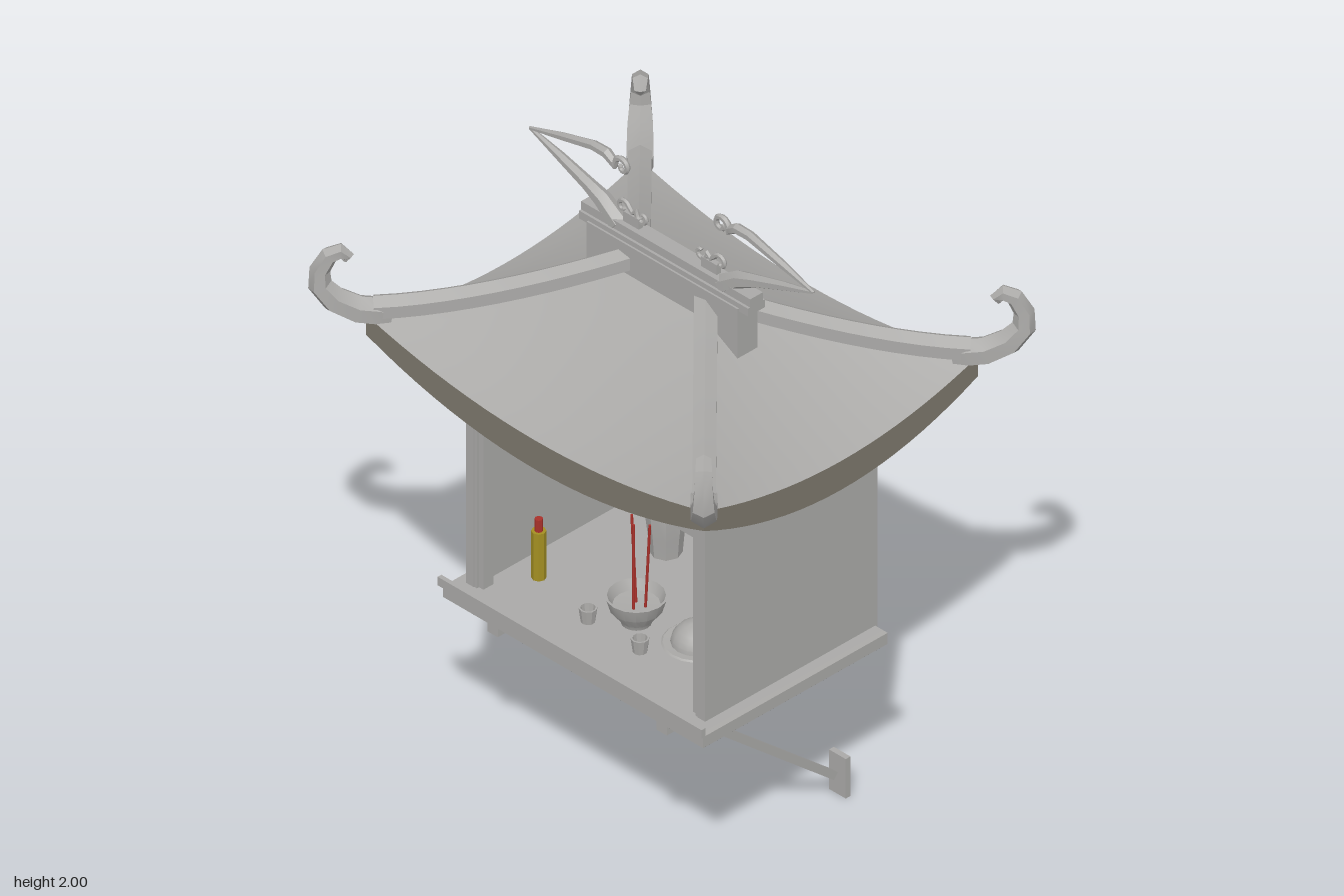
import * as THREE from 'three';
import { toCreasedNormals } from 'three/addons/utils/BufferGeometryUtils.js';

const material = (name, color, side = THREE.FrontSide) => {
  const m = new THREE.MeshStandardMaterial({ color, side });
  m.name = name;
  return m;
};

export function createModel() {
  const root = new THREE.Group();
  root.name = 'wallShrine';
  const grey = material('stoneGrey', 0xaaa9a7, THREE.DoubleSide);
  const trim = material('eaveTrim', 0x7c776c, THREE.DoubleSide);
  const gold = material('candleGold', 0xa38f22);
  const red = material('incenseRed', 0xa8302a);

  const add = (name, geo, mat, x = 0, y = 0, z = 0) => {
    const mesh = new THREE.Mesh(toCreasedNormals(geo, 0.45), mat);
    mesh.name = name;
    mesh.position.set(x, y, z);
    root.add(mesh);
    return mesh;
  };
  // Box given by its limits on each axis
  const box = (name, x0, x1, y0, y1, z0, z1, mat = grey) =>
    add(name, new THREE.BoxGeometry(x1 - x0, y1 - y0, z1 - z0), mat, (x0 + x1) / 2, (y0 + y1) / 2, (z0 + z1) / 2);
  // Slab with bevelled edges
  const slab = (name, x0, x1, y0, y1, z0, z1, b = 0.008) => {
    const s = new THREE.Shape();
    s.moveTo(x0 + b, -z1 + b).lineTo(x1 - b, -z1 + b).lineTo(x1 - b, -z0 - b).lineTo(x0 + b, -z0 - b).closePath();
    const g = new THREE.ExtrudeGeometry(s, { depth: y1 - y0 - 2 * b, bevelSize: b, bevelThickness: b, bevelSegments: 1 });
    add(name, g.rotateX(-Math.PI / 2), grey, 0, y0 + b, 0);
  };
  const lathe = (name, pts, sides, x, y, z, mat = grey) =>
    add(name, new THREE.LatheGeometry(pts.map(p => new THREE.Vector2(...p)), sides), mat, x, y, z);
  // Grid surface from a function of u and v in 0..1
  const surface = (f, nu, nv) => {
    const pos = [], index = [];
    for (let j = 0; j <= nv; j++) for (let i = 0; i <= nu; i++) pos.push(...f(i / nu, j / nv));
    for (let j = 0; j < nv; j++) for (let i = 0; i < nu; i++) {
      const a = j * (nu + 1) + i, b = a + nu + 1;
      index.push(a, b, a + 1, a + 1, b, b + 1);
    }
    const g = new THREE.BufferGeometry();
    g.setAttribute('position', new THREE.Float32BufferAttribute(pos, 3));
    g.setIndex(index);
    g.computeVertexNormals();
    return g;
  };
  // Tapered faceted sweep of [across, up, radius] points in the upright plane along dir
  const sweep = (name, pts, dir, origin, sides = 6) => {
    const across = new THREE.Vector3(...dir).normalize();
    const side = new THREE.Vector3(-across.z, 0, across.x);
    const n = pts.length - 1;
    const ring = (t, k) => {
      const i = Math.min(n, Math.max(0, Math.round(t * (n + 2)) - 1));
      const p = pts[i], a = pts[Math.max(0, i - 1)], b = pts[Math.min(n, i + 1)];
      const r = t === 0 || t === 1 ? 0 : p[2], len = Math.hypot(b[0] - a[0], b[1] - a[1]);
      const w = (k + 0.5 / sides) * Math.PI * 2, c = Math.cos(w) * r, s = Math.sin(w) * r;
      const d = p[0] - (b[1] - a[1]) / len * s;
      return new THREE.Vector3(...origin).addScaledVector(across, d).addScaledVector(side, c)
        .add(new THREE.Vector3(0, p[1] + (b[0] - a[0]) / len * s, 0)).toArray();
    };
    return add(name, surface((u, v) => ring(v, u), sides, n + 2), grey);
  };
  const spiral = (cx, cy, r0, r1, a0, a1, t0, t1, n = 12) => Array.from({ length: n + 1 }, (_, i) => {
    const k = i / n, a = a0 + (a1 - a0) * k, r = r0 + (r1 - r0) * k;
    return [cx + Math.cos(a) * r, cy + Math.sin(a) * r, t0 + (t1 - t0) * k];
  });

  // Platform, front lip, joists, struts and wall plates
  slab('platform', -0.5, 0.5, 0.565, 0.617, -0.325, 0.375);
  box('platformLip', -0.51, 0.505, 0.612, 0.64, 0.372, 0.386);
  for (const s of [-1, 1]) {
    const x = s * 0.325;
    box('joist', x - 0.02, x + 0.02, 0.53, 0.567, -0.322, 0.36);
    box('wallPlate', x - 0.032, x + 0.032, 0, 0.13, -0.325, -0.307);
    const strut = add('strut', new THREE.BoxGeometry(0.02, 0.024, 0.715), grey, x, 0.3, -0.017);
    strut.rotation.x = -Math.atan2(0.46, 0.55);
    // Side walls and front jambs
    box('sideWall', s * 0.445 - 0.015, s * 0.445 + 0.015, 0.61, 1.33, -0.325, 0.328);
    box('jamb', s * 0.415 - 0.012, s * 0.415 + 0.012, 0.617, 1.2, 0.28, 0.318);
    box('jambBead', s * 0.426 - 0.006, s * 0.426 + 0.006, 0.617, 1.2, 0.315, 0.326);
  }
  box('backWall', -0.46, 0.46, 0.61, 1.33, -0.325, -0.3);
  box('lintel', -0.435, 0.435, 1.2, 1.33, 0.3, 0.326);
  slab('topBeam', -0.487, 0.487, 1.313, 1.355, -0.322, 0.355, 0.012);

  // Curved hipped roof: four panels with underside and eave trim
  const hipY = v => 1.5 + 0.175 * Math.pow(1 - v, 1.6);
  const midY = v => 1.41 + 0.265 * Math.pow(1 - v, 1.1);
  const drop = s => 0.095 - 0.03 * s * s;
  for (let k = 0; k < 4; k++) {
    const [w0, w1, d0, d1] = k % 2 ? [0, 0.52, 0.13, 0.65] : [0.13, 0.65, 0, 0.52];
    const point = (u, v, low) => {
      const s = u * 2 - 1;
      return [s * (w0 + (w1 - w0) * v), midY(v) + (hipY(v) - midY(v)) * s * s - low * drop(s), d0 + (d1 - d0) * v];
    };
    const parts = [
      ['roofPanel', surface((u, v) => point(u, v, 0), 20, 10), grey],
      ['roofUnderside', surface((u, v) => point(1 - u, v, 1), 20, 10), grey],
      ['eaveTrim', surface((u, v) => point(u, 1, v), 20, 1), trim],
    ];
    for (const [name, g, m] of parts) add(name, g, m).rotation.y = k * Math.PI / 2;
  }

  // Hip ribs and upturned corner horns
  const q = Math.SQRT2;
  const horn = [[0.47, 1.508, 0.03], [0.5, 1.515, 0.042], [0.535, 1.52, 0.042], [0.58, 1.552, 0.04], [0.608, 1.6, 0.034],
    [0.608, 1.65, 0.029], [0.59, 1.697, 0.026], [0.568, 1.71, 0.024], [0.555, 1.695, 0.018], [0.562, 1.682, 0.01]];
  for (const sx of [-1, 1]) for (const sz of [-1, 1]) {
    const dir = [sx, 0, sz], origin = [sx * 0.13, 0, 0];
    const rib = Array.from({ length: 12 }, (_, i) => {
      const v = -0.02 + i / 11 * 0.99;
      return [v * 0.52 * q, hipY(v) + 0.025, 0.037];
    });
    sweep('hipRib', rib, dir, origin);
    sweep('cornerHorn', horn.map(([a, y, r]) => [a * q, y, r]), dir, origin);
  }

  // Ridge
  box('ridgeBody', -0.29, 0.29, 1.575, 1.75, -0.038, 0.038);
  box('ridgeBeam', -0.325, 0.325, 1.74, 1.766, -0.032, 0.032);
  box('ridgeCap', -0.325, 0.325, 1.766, 1.793, -0.024, 0.024);

  // Ridge finials with curled ends, and small cloud scrolls
  for (const s of [-1, 1]) {
    const dir = [s, 0, 0], o = [0, 0, 0];
    sweep('finialStem', [[0.2, 1.77, 0.03], [0.265, 1.818, 0.026], [0.32, 1.84, 0.02], [0.43, 1.878, 0.014], [0.546, 1.914, 0.005]], dir, o);
    sweep('finialSweep', [[0.546, 1.913, 0.005], [0.43, 1.945, 0.012], [0.3, 1.978, 0.015], [0.25, 1.978, 0.016],
      [0.225, 1.962, 0.014], ...spiral(0.19, 1.962, 0.03, 0.008, -0.4, s > 0 ? 7 : 6.4, 0.01, 0.007, 16)], dir, o);
    sweep('cloudScroll', [...spiral(0.112, 1.833, 0.006, 0.025, -5, 0.4, 0.006, 0.008), [0.15, 1.83, 0.008],
      ...spiral(0.187, 1.833, 0.025, 0.006, Math.PI - 0.4, -2.5, 0.008, 0.006)], dir, o);
    box('scrollFoot', s * 0.15 - 0.03, s * 0.15 + 0.03, 1.785, 1.825, -0.008, 0.008);
  }

  // Vases with pointed lids
  lathe('narrowVase', [[0, 0], [0.045, 0], [0.05, 0.06], [0.064, 0.18], [0.052, 0.235], [0.046, 0.245],
    [0.048, 0.252], [0, 0.288]], 8, -0.185, 0.617, -0.16);
  lathe('wideVase', [[0, 0], [0.075, 0], [0.07, 0.08], [0.05, 0.23], [0.046, 0.255], [0.054, 0.262],
    [0.046, 0.272], [0, 0.318]], 8, 0.178, 0.617, -0.16);

  // Incense bowl and sticks
  lathe('incenseBowl', [[0, 0], [0.042, 0], [0.046, 0.012], [0.075, 0.05], [0.087, 0.09], [0.08, 0.09],
    [0.065, 0.06], [0, 0.055]], 16, -0.005, 0.617, 0.13);
  for (const [x, z, tilt] of [[-0.025, 0.12, 0.06], [0.004, 0.15, 0], [0.028, 0.12, -0.06]]) {
    const stick = add('incenseStick', new THREE.CylinderGeometry(0.004, 0.004, 0.28, 6), red, x, 0.812, z);
    stick.rotation.z = tilt;
  }

  // Cups, covered dish and candles
  for (const s of [-1, 1]) {
    lathe('cup', [[0, 0], [0.02, 0], [0.026, 0.045], [0.021, 0.045], [0.018, 0.01], [0, 0.01]], 10, s * 0.1, 0.617, 0.22);
    add('candle', new THREE.CylinderGeometry(0.021, 0.021, 0.155, 8), gold, s * 0.34, 0.694, 0.17);
    add('candleTip', new THREE.CylinderGeometry(0.012, 0.012, 0.04, 8), red, s * 0.34, 0.791, 0.17);
  }
  lathe('dish', [[0, 0], [0.06, 0], [0.1, 0.022], [0.095, 0.026], [0, 0.02]], 18, 0.2, 0.617, 0.1);
  add('offeringDome', new THREE.SphereGeometry(0.075, 16, 6, 0, Math.PI * 2, 0, Math.PI / 2).scale(1, 0.9, 1), grey, 0.2, 0.637, 0.1);
  return root;
}
